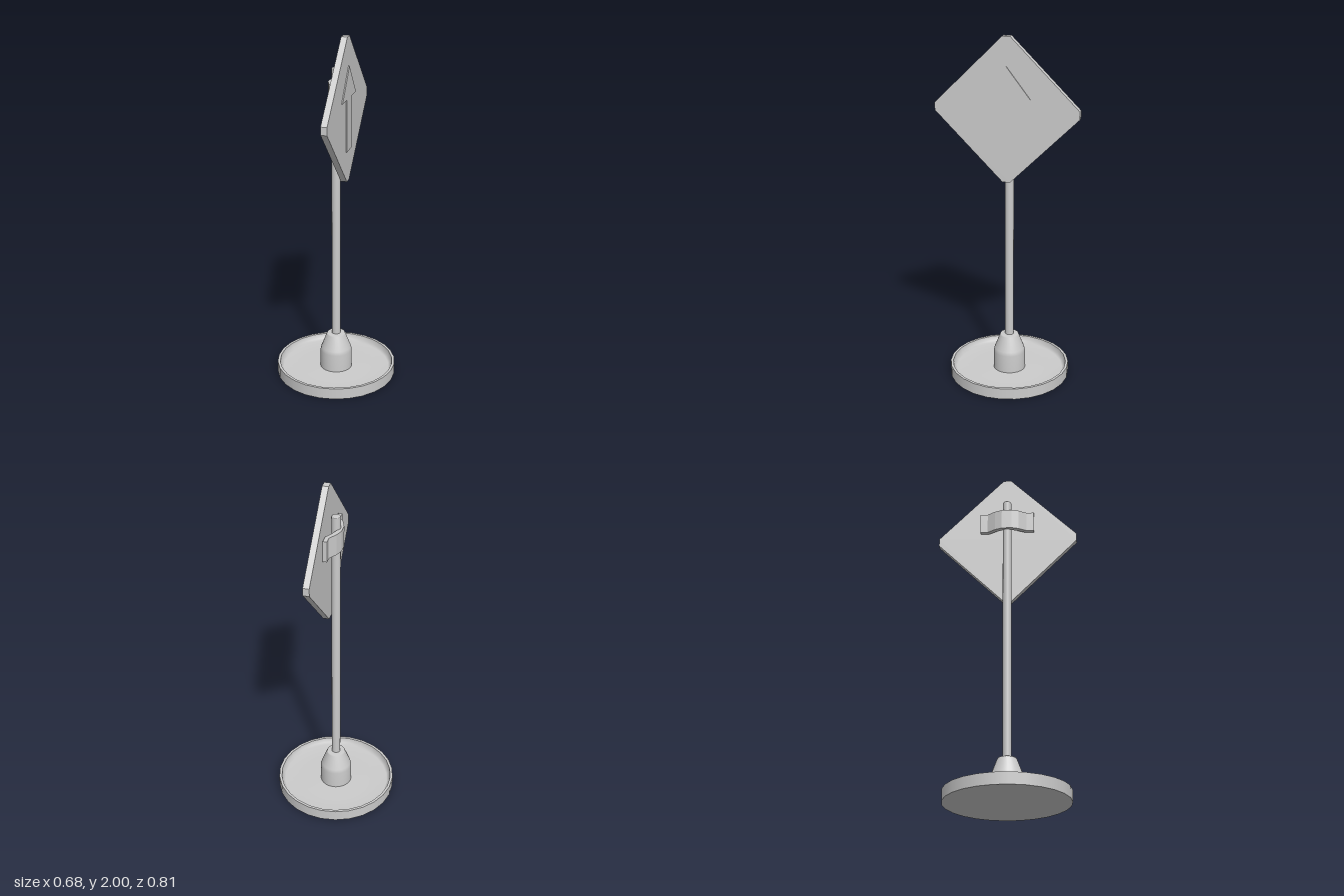
import * as THREE from 'three';

const material = new THREE.MeshStandardMaterial({ color: 0xcccccc });

function addMesh(parent, name, geometry) {
  const mesh = new THREE.Mesh(geometry, material);
  mesh.name = name;
  parent.add(mesh);
  return mesh;
}

const toPoints = (pairs) => pairs.map(([a, b]) => new THREE.Vector2(a, b));

// Each profile runs smooth; separate profiles meet at sharp edges.
function addLathe(parent, name, segments, ...profiles) {
  const group = new THREE.Group();
  group.name = name;
  profiles.forEach((p, i) =>
    addMesh(group, `${name}Surface${i + 1}`, new THREE.LatheGeometry(toPoints(p), segments)));
  parent.add(group);
}

const extrude = (pairs, depth) =>
  new THREE.ExtrudeGeometry(new THREE.Shape(toPoints(pairs)), { depth, bevelEnabled: false });

// Outline in the z-y plane, thickened from x0 to x1.
function addPanel(parent, name, pairs, x0, x1) {
  addMesh(parent, name, extrude(pairs, x1 - x0).rotateY(Math.PI / 2).translate(x0, 0, 0));
}

export function createModel() {
  const model = new THREE.Group();
  model.name = 'signPost';

  // Dished round base
  addLathe(model, 'base', 26,
    [[0, 0], [0.345, 0]],
    [[0.345, 0], [0.345, 0.065]],
    [[0.345, 0.065], [0.33, 0.065]],
    [[0.33, 0.065], [0.325, 0.036], [0.31, 0.027], [0.2, 0.027], [0.092, 0.03]]);

  // Tapered socket holding the pole
  addLathe(model, 'socket', 26,
    [[0.092, 0.027], [0.092, 0.135], [0.086, 0.157], [0.055, 0.237], [0.051, 0.245], [0, 0.245]]);

  // Pole
  addLathe(model, 'pole', 14, [[0.025, 0.2], [0.025, 1.825], [0.022, 1.83], [0, 1.83]]);

  // Diamond plate with clipped corners
  const r = 0.404, c = 0.022, cy = 1.6;
  addPanel(model, 'signPlate', [
    [c, cy - r], [r, cy - c], [r, cy + c], [c, cy + r],
    [-c, cy + r], [-r, cy + c], [-r, cy - c], [-c, cy - r],
  ], 0.033, 0.068);

  // Raised arrow
  addPanel(model, 'arrow', [
    [-0.045, 1.375], [0.045, 1.375], [0.045, 1.67], [0.135, 1.67],
    [0, 1.845], [-0.135, 1.67], [-0.045, 1.67],
  ], 0.067, 0.074);

  // Bent strap clamping the plate to the pole
  const outer = [[-0.037, 0.028], [-0.022, 0.07], [0.007, 0.115], [0.007, 0.157]];
  const inner = [[0.03, 0.157], [0.03, 0.108], [0.004, 0.062], [-0.012, 0.022]];
  const half = [...outer, ...inner];
  const mirrored = half.map(([x, z]) => [x, -z]).reverse();
  addMesh(model, 'clamp', extrude([...half, ...mirrored], 0.12)
    .rotateX(-Math.PI / 2).translate(0, 1.64, 0));

  return model;
}
